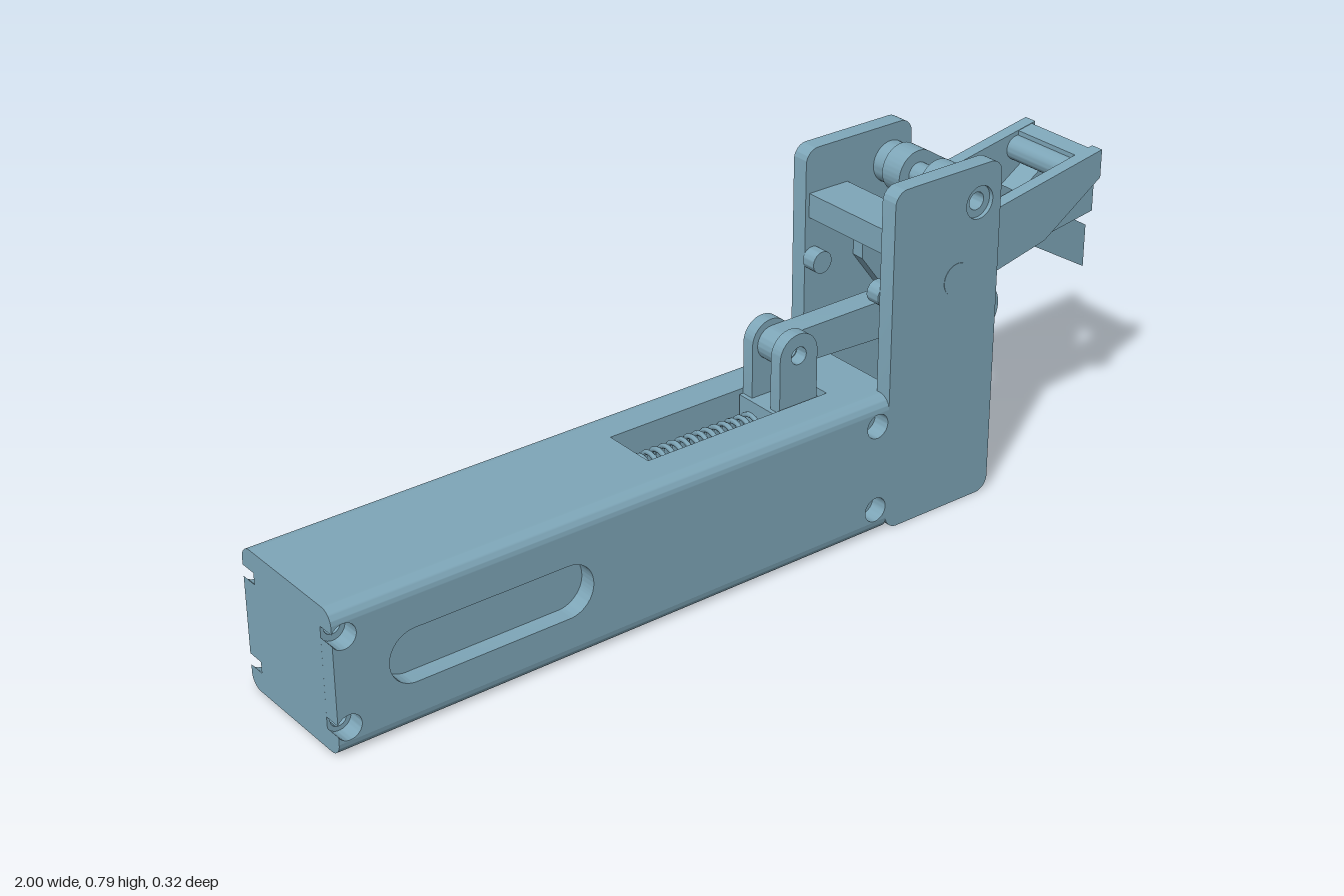
import * as THREE from 'three';
import { toCreasedNormals } from 'three/addons/utils/BufferGeometryUtils.js';

export function createModel() {
  const group = new THREE.Group();
  const steel = new THREE.MeshStandardMaterial({ color: 0x7ea6b8 });
  steel.name = 'blue grey metal';

  const add = (name, geometry) => {
    const mesh = new THREE.Mesh(geometry, steel);
    mesh.name = name;
    group.add(mesh);
    return mesh;
  };
  const poly = (points) => new THREE.Shape(points.map(([x, y]) => new THREE.Vector2(x, y)));
  const hole = (shape, x, y, r) => {
    shape.holes.push(new THREE.Path().absarc(x, y, r, 0, Math.PI * 2, true));
    return shape;
  };
  const disc = (x, y, r) => new THREE.Shape().absarc(x, y, r, 0, Math.PI * 2, false);
  const ring = (x, y, r, inner) => hole(disc(x, y, r), x, y, inner);
  const roundRect = (x0, y0, x1, y1, r, Type = THREE.Shape) => {
    const s = new Type();
    s.absarc(x1 - r, y1 - r, r, 0, Math.PI / 2, false);
    s.absarc(x0 + r, y1 - r, r, Math.PI / 2, Math.PI, false);
    s.absarc(x0 + r, y0 + r, r, Math.PI, Math.PI * 1.5, false);
    s.absarc(x1 - r, y0 + r, r, Math.PI * 1.5, Math.PI * 2, false);
    s.closePath();
    return s;
  };
  const slab = (name, shape, z0, z1) => {
    const g = new THREE.ExtrudeGeometry(shape, { depth: z1 - z0, bevelEnabled: false, curveSegments: 16 });
    g.translate(0, 0, z0);
    return add(name, toCreasedNormals(g, 0.6));
  };
  // same slab on both sides of the centre plane
  const pair = (name, shape, z0, z1) => {
    slab(name + 'Left', shape, z0, z1);
    slab(name + 'Right', shape, -z1, -z0);
  };
  const box = (name, x0, x1, y0, y1, z0, z1) => {
    const g = new THREE.BoxGeometry(x1 - x0, y1 - y0, z1 - z0);
    g.translate((x0 + x1) / 2, (y0 + y1) / 2, (z0 + z1) / 2);
    return add(name, g);
  };

  // Housing: centre slab with the spring slot, flanked by solid slabs
  const screws = [[-0.975, 0.06], [-0.975, 0.265], [0.335, 0.06], [0.335, 0.265]];
  const drill = (shape, r) => {
    screws.forEach(([x, y]) => hole(shape, x, y, r));
    return shape;
  };
  slab('housingCentre', drill(poly([[-1, 0], [0.4, 0], [0.4, 0.32], [0.275, 0.32], [0.275, 0.12],
    [-0.195, 0.12], [-0.195, 0.32], [-1, 0.32]]), 0.018), -0.063, 0.063);
  pair('housingWall', drill(poly([[-1, 0], [0.4, 0], [0.4, 0.32], [-1, 0.32]]), 0.018), 0.063, 0.12);

  // Side skins with oval recess, screw recesses and open notches at the end
  const skin = new THREE.Shape();
  skin.moveTo(-1, 0.03);
  skin.lineTo(0.365, 0.03);
  skin.lineTo(0.365, 0.29);
  skin.lineTo(-1, 0.29);
  for (const y of [0.261, 0.06]) skin.absarc(-0.975, y, 0.028, 2.67, -2.67, true);
  skin.closePath();
  hole(skin, 0.335, 0.06, 0.028);
  hole(skin, 0.335, 0.261, 0.028);
  skin.holes.push(roundRect(-0.88, 0.1, -0.405, 0.22, 0.059, THREE.Path));
  pair('sideSkin', skin, 0.12, 0.16);

  // Rounded long edges
  for (const sz of [1, -1]) for (const top of [false, true]) {
    const s = new THREE.Shape();
    s.moveTo(0.12, 0.03);
    s.lineTo(0.12, 0);
    s.absarc(0.13, 0.03, 0.03, -Math.PI / 2, 0, false);
    s.closePath();
    const pts = s.getPoints(10).map((p) => new THREE.Vector2(p.x * sz, top ? 0.32 - p.y : p.y));
    const g = new THREE.ExtrudeGeometry(new THREE.Shape(pts), { depth: 1.365, bevelEnabled: false });
    g.rotateY(Math.PI / 2);
    g.translate(-1, 0, 0);
    add('roundedEdge', toCreasedNormals(g, 0.6));
  }

  // End details
  const endRing = add('endHoleRim', new THREE.TorusGeometry(0.018, 0.003, 6, 24));
  endRing.rotation.y = Math.PI / 2;
  endRing.position.set(-1 + 0.003, 0.16, 0);
  for (const y of [0.13, 0.193]) for (const z of [-0.09, 0.09]) {
    const g = new THREE.CylinderGeometry(0.018, 0.018, 0.006, 24);
    g.rotateZ(Math.PI / 2);
    add('endScrew', g).position.set(0.4, y, z);
  }
  box('endTab', 0.395, 0.404, 0.245, 0.28, -0.12, -0.095);

  // Upright cheek plates
  const cheek = hole(roundRect(0.365, 0, 0.66, 0.785, 0.032), 0.6, 0.7, 0.037);
  pair('cheekPlate', cheek, 0.12, 0.16);
  pair('pivotBushing', ring(0.6, 0.7, 0.037, 0.02), 0.12, 0.15);
  pair('armPivotCap', disc(0.545, 0.54, 0.037), 0.11, 0.161);
  pair('stopPin', disc(0.385, 0.535, 0.025), 0.085, 0.12);
  box('stopBlock', 0.375, 0.48, 0.63, 0.685, -0.12, 0.12);

  // Spring in the slot
  class Helix extends THREE.Curve {
    getPoint(t, target = new THREE.Vector3()) {
      const a = t * Math.PI * 2 * 15;
      return target.set(-0.19 + 0.33 * t, 0.25 + 0.04 * Math.sin(a), 0.04 * Math.cos(a));
    }
  }
  add('spring', new THREE.TubeGeometry(new Helix(), 300, 0.006, 6, false));
  slab('springRod', roundRect(-0.19, 0.235, 0.15, 0.265, 0.01), -0.015, 0.015);

  // Slider with clevis
  box('slider', 0.14, 0.265, 0.14, 0.31, -0.06, 0.06);
  const ear = new THREE.Shape();
  ear.moveTo(0.15, 0.3);
  ear.lineTo(0.25, 0.3);
  ear.absarc(0.2, 0.43, 0.05, 0, Math.PI, false);
  ear.closePath();
  pair('clevisEar', hole(ear, 0.2, 0.43, 0.02), 0.03, 0.06);

  // Push link from clevis to crank
  const link = new THREE.Shape();
  link.absarc(0.2, 0.428, 0.038, Math.PI / 2, Math.PI * 1.5, false);
  link.absarc(0.645, 0.42, 0.048, -Math.PI / 2, Math.PI / 2, false);
  link.closePath();
  hole(link, 0.2, 0.43, 0.02);
  slab('pushLink', hole(link, 0.645, 0.42, 0.02), -0.028, 0.028);

  // Crank joint and upper pivot spacers
  pair('crankSpacer', ring(0.645, 0.42, 0.05, 0.02), 0.03, 0.085);
  pair('crankEye', ring(0.645, 0.42, 0.065, 0.02), 0.088, 0.118);
  pair('pivotSpacer', ring(0.6, 0.7, 0.047, 0.02), 0.088, 0.12);
  slab('pivotSleeve', ring(0.6, 0.7, 0.027, 0.02), -0.03, 0.03);

  // Upper jaw arms, running down to the crank joint
  const arm = poly([[0.5, 0.57], [0.5, 0.51], [0.59, 0.39], [0.625, 0.385], [0.68, 0.46], [0.66, 0.49],
    [0.84, 0.53], [1, 0.635], [1, 0.7], [0.66, 0.64], [0.55, 0.6]]);
  pair('upperJawArm', hole(arm, 0.645, 0.42, 0.02), 0.088, 0.118);
  pair('upperJawTooth', poly([[0.83, 0.525], [1, 0.55], [1, 0.635]]), 0.031, 0.1);
  slab('upperJawCrossbar', poly([[0.95, 0.625], [0.995, 0.645], [1, 0.675], [0.99, 0.697], [0.95, 0.69]]),
    -0.118, 0.118);
  slab('upperJawRod', disc(0.945, 0.652, 0.028), -0.1, 0.1);

  // Lower fork, swung from the upper pivot
  const fork = new THREE.Shape();
  fork.absarc(0.6, 0.7, 0.054, 1.03, 4.2, false);
  fork.lineTo(0.84, 0.505);
  fork.lineTo(1, 0.41);
  fork.lineTo(1, 0.51);
  fork.closePath();
  pair('lowerFork', hole(fork, 0.6, 0.7, 0.02), 0.03, 0.084);

  return group;
}
